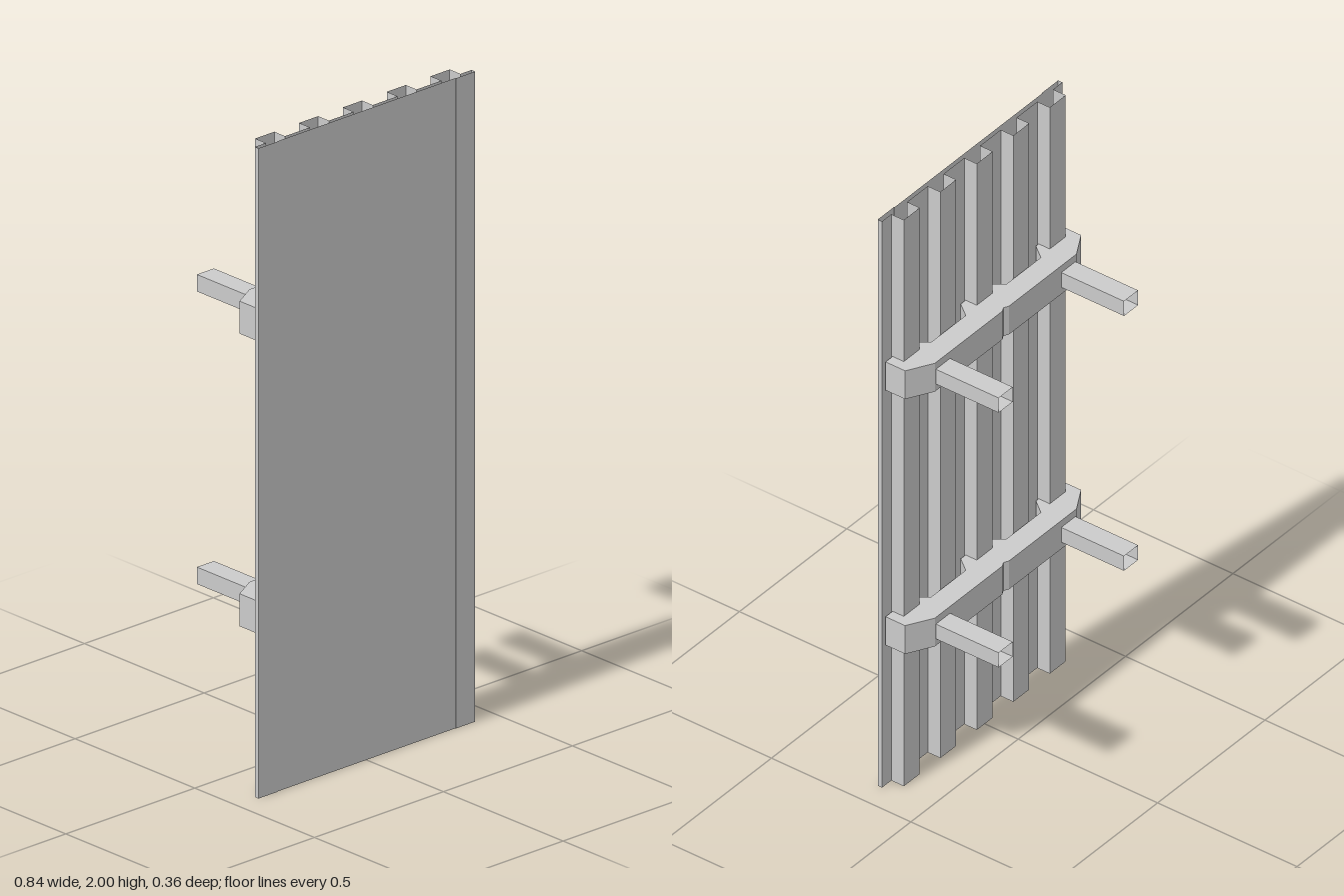
import * as THREE from 'three';

const material = new THREE.MeshStandardMaterial({ color: 0xcccccc, flatShading: true, side: THREE.DoubleSide });

function addMesh(parent, name, geometry) {
  const mesh = new THREE.Mesh(geometry, material);
  mesh.name = name;
  parent.add(mesh);
  return mesh;
}

// Thin folded sheet: a profile of [x, z] points swept up from y = 0
function sheet(profile, height) {
  const pos = [];
  for (let i = 0; i < profile.length - 1; i++) {
    const [ax, az] = profile[i], [bx, bz] = profile[i + 1];
    pos.push(ax, 0, az, bx, 0, bz, bx, height, bz);
    pos.push(ax, 0, az, bx, height, bz, ax, height, az);
  }
  const g = new THREE.BufferGeometry();
  g.setAttribute('position', new THREE.Float32BufferAttribute(pos, 3));
  g.computeVertexNormals();
  return g;
}

// Open square tube running along z
function tube(width, height, length) {
  const w = width / 2, h = height / 2;
  const g = sheet([[-w, h], [-w, -h], [w, -h], [w, h], [-w, h]], length);
  return g.rotateX(-Math.PI / 2);
}

// Solid bracket, extruded upward from half an outline of [x, z] points
function bracketGeometry(height) {
  const half = [[0, 0.053], [0.015, 0.045], [0.33, 0.045], [0.41, 0.09], [0.41, 0.16],
    [0.29, 0.16], [0.255, 0.115], [0.095, 0.115], [0.06, 0.16]];
  const mirrored = half.slice(1).reverse().map(([x, z]) => [-x, z]);
  const points = [...half, ...mirrored].map(([x, z]) => new THREE.Vector2(x, -z));
  const g = new THREE.ExtrudeGeometry(new THREE.Shape(points), { depth: height, bevelEnabled: false });
  return g.rotateX(-Math.PI / 2);
}

export function createModel() {
  const group = new THREE.Group();
  const H = 2, W = 0.42, front = 0.18, back = 0.165, ribBack = 0.12;

  // Front skin with slightly proud edge strips folded back at the sides
  const seam = 0.345;
  addMesh(group, 'frontPanel', sheet([[-seam, front - 0.002], [seam, front - 0.002]], H));
  for (const s of [-1, 1]) {
    addMesh(group, s > 0 ? 'leftEdgeStrip' : 'rightEdgeStrip',
      sheet([[s * seam, front - 0.002], [s * seam, front], [s * W, front], [s * W, back]], H));
  }

  // Ribbed back sheet with five square channels
  const profile = [[-W, back]];
  for (let i = -2; i <= 2; i++) {
    const x = i * 0.17, w = 0.037;
    profile.push([x - w, back], [x - w, ribBack], [x + w, ribBack], [x + w, back]);
  }
  profile.push([W, back]);
  addMesh(group, 'ribbedBack', sheet(profile, H));

  // Two cross brackets, each with a pair of open tubes
  for (const [name, y] of [['lower', 0.55], ['upper', 1.45]]) {
    const mount = new THREE.Group();
    mount.name = name + 'Mount';
    mount.position.y = y;
    addMesh(mount, 'bracket', bracketGeometry(0.1)).position.y = -0.05;
    for (const s of [-1, 1]) {
      addMesh(mount, s > 0 ? 'leftTube' : 'rightTube', tube(0.066, 0.052, 0.225))
        .position.set(s * 0.292, 0, 0.045);
    }
    group.add(mount);
  }
  return group;
}
